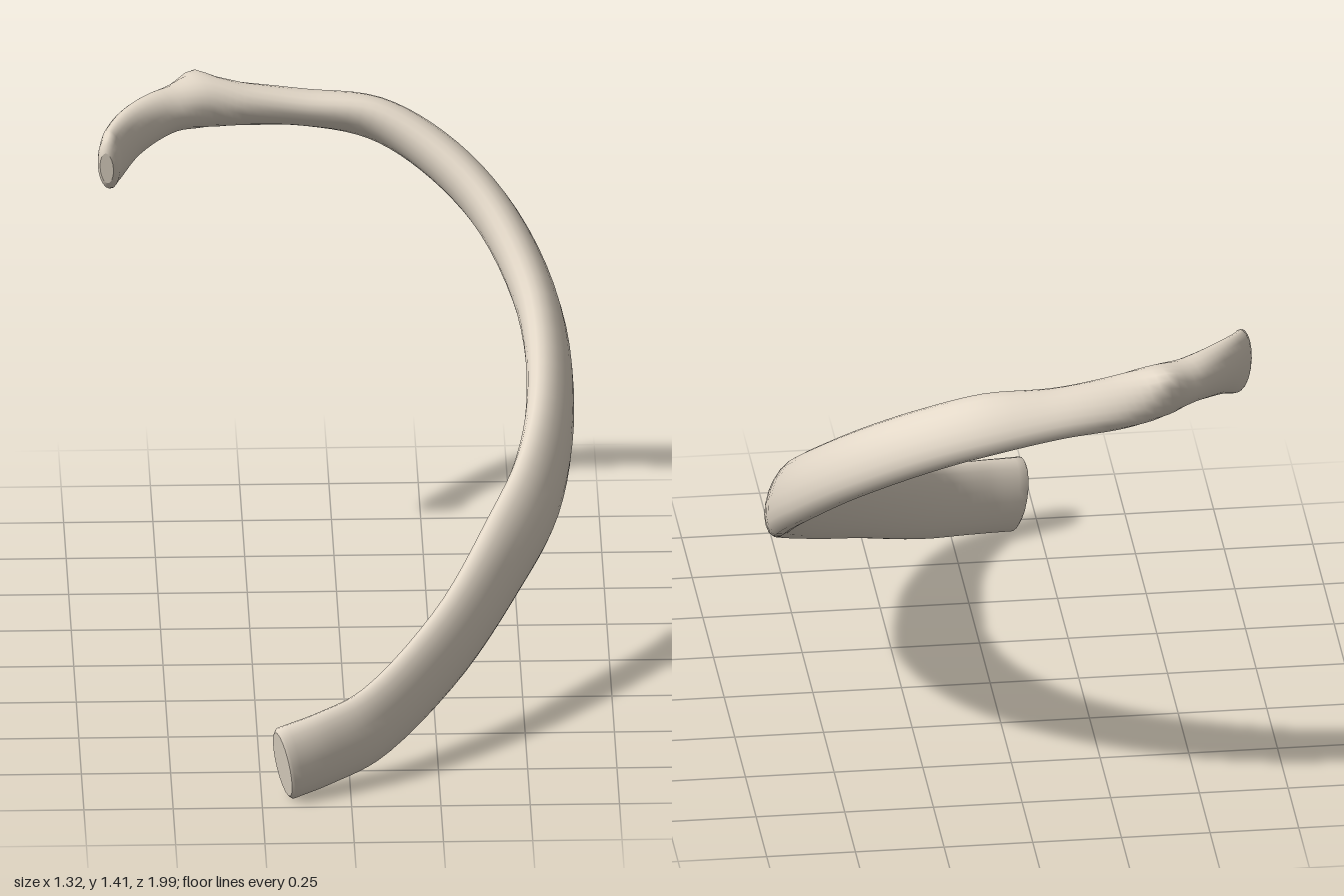
import * as THREE from 'three';

// Stations from the front end to the head: x, y, z, half height, half thickness, inward lean (degrees)
const STATIONS = [
  [-0.185, 0.112, 0.943, 0.112, 0.054, 0],
  [-0.07, 0.135, 0.89, 0.112, 0.048, 0],
  [0.06, 0.17, 0.81, 0.112, 0.045, 2],
  [0.28, 0.305, 0.57, 0.112, 0.047, 8],
  [0.44, 0.45, 0.30, 0.116, 0.052, 14],
  [0.545, 0.57, 0.08, 0.116, 0.054, 18],
  [0.59, 0.71, -0.18, 0.110, 0.058, 20],
  [0.565, 0.88, -0.45, 0.102, 0.062, 24],
  [0.45, 1.06, -0.685, 0.098, 0.062, 34],
  [0.29, 1.19, -0.83, 0.096, 0.062, 44],
  [0.12, 1.27, -0.905, 0.093, 0.058, 50],
  [-0.08, 1.30, -0.918, 0.080, 0.052, 60],
  [-0.25, 1.318, -0.905, 0.078, 0.058, 50],
  [-0.37, 1.335, -0.878, 0.074, 0.066, 20],
  [-0.48, 1.335, -0.81, 0.068, 0.056, 0],
  [-0.575, 1.315, -0.71, 0.080, 0.042, 0],
  [-0.625, 1.285, -0.625, 0.090, 0.034, 0],
  [-0.635, 1.278, -0.59, 0.084, 0.032, 0],
];
const SIDES = 20;
const STEPS = 90;

// Smooth position, size and lean at t in 0..1
const path = new THREE.CatmullRomCurve3(STATIONS.map(s => new THREE.Vector3(s[0], s[1], s[2])));
const shape = new THREE.CatmullRomCurve3(STATIONS.map(s => new THREE.Vector3(s[3], s[4], s[5] / 100)));

// Oval cross-section, taller than thick, leaning towards the inside of the curve
function section(t, scale, push) {
  const T = path.getTangent(t);
  const C = path.getPoint(t).addScaledVector(T, push);
  const S = new THREE.Vector3().crossVectors(T, new THREE.Vector3(0, 1, 0)).normalize();
  const U = new THREE.Vector3().crossVectors(S, T);
  const { x: h, y: w, z } = shape.getPoint(t);
  const lean = THREE.MathUtils.degToRad(z * 100);
  const tall = U.clone().multiplyScalar(Math.cos(lean)).addScaledVector(S, -Math.sin(lean));
  const wide = S.clone().multiplyScalar(Math.cos(lean)).addScaledVector(U, Math.sin(lean));
  return Array.from({ length: SIDES }, (_, j) => {
    const a = (j / SIDES) * Math.PI * 2;
    return C.clone()
      .addScaledVector(wide, w * scale * Math.cos(a))
      .addScaledVector(tall, h * scale * Math.sin(a));
  });
}

// Small bump on the upper back side, near the neck
const BUMP = new THREE.Vector3(-0.4, 1.385, -0.935);
const BUMP_DIR = new THREE.Vector3(0, 0.7, -0.7);
function raiseBump(p) {
  const d = p.distanceTo(BUMP) / 0.05;
  return p.addScaledVector(BUMP_DIR, 0.04 * Math.exp(-d * d));
}

function loft(rings) {
  const pos = [], idx = [];
  rings.forEach(r => r.forEach(p => pos.push(p.x, p.y, p.z)));
  for (let i = 0; i < rings.length - 1; i++) {
    for (let j = 0; j < SIDES; j++) {
      const k = (j + 1) % SIDES;
      const a = i * SIDES + j, b = i * SIDES + k;
      idx.push(a, a + SIDES, b, b, a + SIDES, b + SIDES);
    }
  }
  return finish(pos, idx);
}

// Flat end face
function cap(ring, flip) {
  const pos = [], idx = [];
  const c = ring.reduce((s, p) => s.add(p), new THREE.Vector3()).divideScalar(SIDES);
  [c, ...ring].forEach(p => pos.push(p.x, p.y, p.z));
  for (let j = 0; j < SIDES; j++) {
    const a = j + 1, b = ((j + 1) % SIDES) + 1;
    idx.push(0, flip ? b : a, flip ? a : b);
  }
  return finish(pos, idx);
}

function finish(pos, idx) {
  const g = new THREE.BufferGeometry();
  g.setAttribute('position', new THREE.Float32BufferAttribute(pos, 3));
  g.setIndex(idx);
  g.computeVertexNormals();
  return g;
}

export function createModel() {
  const group = new THREE.Group();
  group.name = 'rib';
  const bone = new THREE.MeshStandardMaterial({ color: 0xe3d8c8 });

  // Softly bevelled front end, long curved shaft, rounded head
  const rings = [section(0, 0.9, -0.008)];
  for (let i = 0; i <= STEPS; i++) rings.push(section(i / STEPS, 1, 0).map(raiseBump));
  rings.push(section(1, 0.88, 0.015), section(1, 0.6, 0.024));

  const add = (name, geometry) => {
    const mesh = new THREE.Mesh(geometry, bone);
    mesh.name = name;
    group.add(mesh);
  };
  add('shaft', loft(rings));
  add('frontEnd', cap(rings[0], false));
  add('headFace', cap(rings[rings.length - 1], true));
  return group;
}
